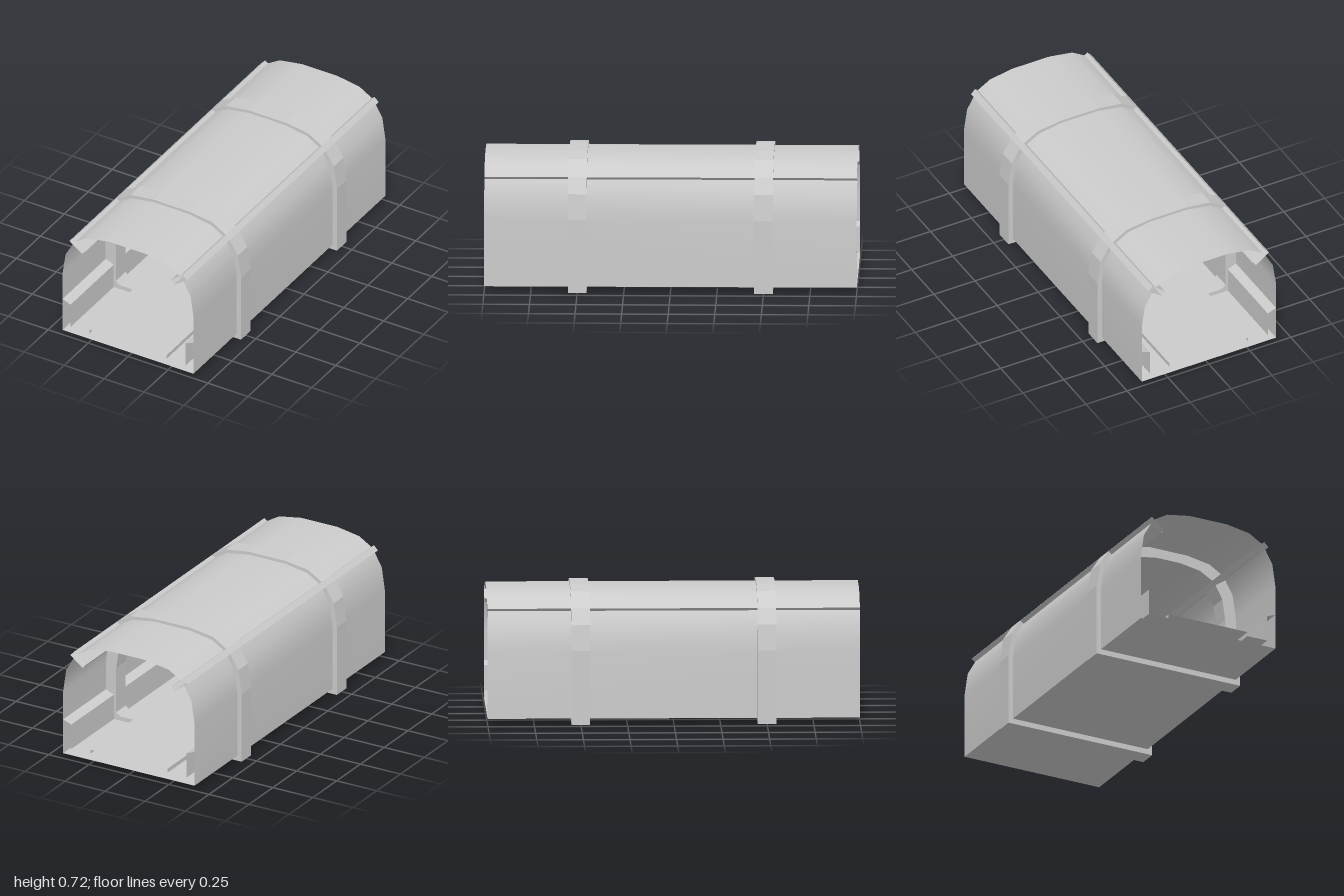
import * as THREE from 'three';

const solidMat = new THREE.MeshStandardMaterial({ color: 0xcccccc });
const sheetMat = new THREE.MeshStandardMaterial({ color: 0xcccccc, side: THREE.DoubleSide });

// Mirrors a half profile (from +x side to the middle) into a full one
const mirrored = (pts) => [...pts, ...pts.map(([x, y]) => [-x, y]).reverse()];

// Thin sheet: an xy profile swept along z from -1 to 1
function sheet(name, pts, smooth) {
  const pos = [], idx = [];
  pts.forEach(([x, y], i) => {
    pos.push(x, y, 1, x, y, -1);
    if (i > 0) {
      const a = 2 * i - 2;
      idx.push(a, a + 1, a + 2, a + 1, a + 3, a + 2);
    }
  });
  let geo = new THREE.BufferGeometry();
  geo.setAttribute('position', new THREE.Float32BufferAttribute(pos, 3));
  geo.setIndex(idx);
  if (!smooth) geo = geo.toNonIndexed();
  geo.computeVertexNormals();
  const mesh = new THREE.Mesh(geo, sheetMat);
  mesh.name = name;
  return mesh;
}

// Solid rib segment of 0.1 depth
function rib(name, pts, z) {
  const shape = new THREE.Shape(pts.map(([x, y]) => new THREE.Vector2(x, y)));
  const geo = new THREE.ExtrudeGeometry(shape, { depth: 0.1, bevelEnabled: false });
  geo.translate(0, 0, z - 0.05);
  const mesh = new THREE.Mesh(geo, solidMat);
  mesh.name = name;
  return mesh;
}

export function createModel() {
  const group = new THREE.Group();
  group.name = 'tunnelSection';

  // Curved roof panel
  group.add(sheet('roofPanel', mirrored([
    [0.325, 0.632], [0.25, 0.677], [0.113, 0.7],
  ]), true));

  // Outer base plate
  group.add(sheet('basePlate', [[-0.41, 0.03], [0.41, 0.03]], false));

  // Inner floor with side channels and wall ledges
  group.add(sheet('innerFloor', mirrored([
    [0.41, 0.23], [0.36, 0.21], [0.36, 0.066], [0.24, 0.066], [0.24, 0.09],
  ]), false));

  for (const s of [1, -1]) {
    const side = s > 0 ? 'left' : 'right';
    const flip = (pts) => pts.map(([x, y]) => [s * x, y]);

    // Side wall curving in towards the roof
    group.add(sheet(side + 'Wall', flip([
      [0.41, 0.03], [0.41, 0.395], [0.391, 0.525], [0.346, 0.605],
    ]), true));

    // Open-ended box rail in the seam between wall and roof
    group.add(sheet(side + 'SeamRail', flip([
      [0.342, 0.645], [0.367, 0.62], [0.287, 0.562], [0.267, 0.585], [0.342, 0.645],
    ]), false));
  }

  // Two ribs, each a U-shaped frame and a separate arch on top
  const outerFrame = mirrored([[0.367, 0.62], [0.417, 0.537], [0.437, 0.4], [0.437, 0]]);
  const innerFrame = mirrored([
    [0.287, 0.562], [0.328, 0.487], [0.346, 0.37], [0.346, 0.11], [0.323, 0.09],
  ]).reverse();
  const outerArch = mirrored([[0.342, 0.645], [0.255, 0.697], [0.115, 0.716]]);
  const innerArch = mirrored([[0.265, 0.585], [0.19, 0.627], [0.07, 0.646]]).reverse();
  for (const z of [0.5, -0.5]) {
    const end = z > 0 ? 'front' : 'back';
    group.add(rib(end + 'RibFrame', [...outerFrame, ...innerFrame], z));
    group.add(rib(end + 'RibArch', [...outerArch, ...innerArch], z));
  }
  return group;
}
